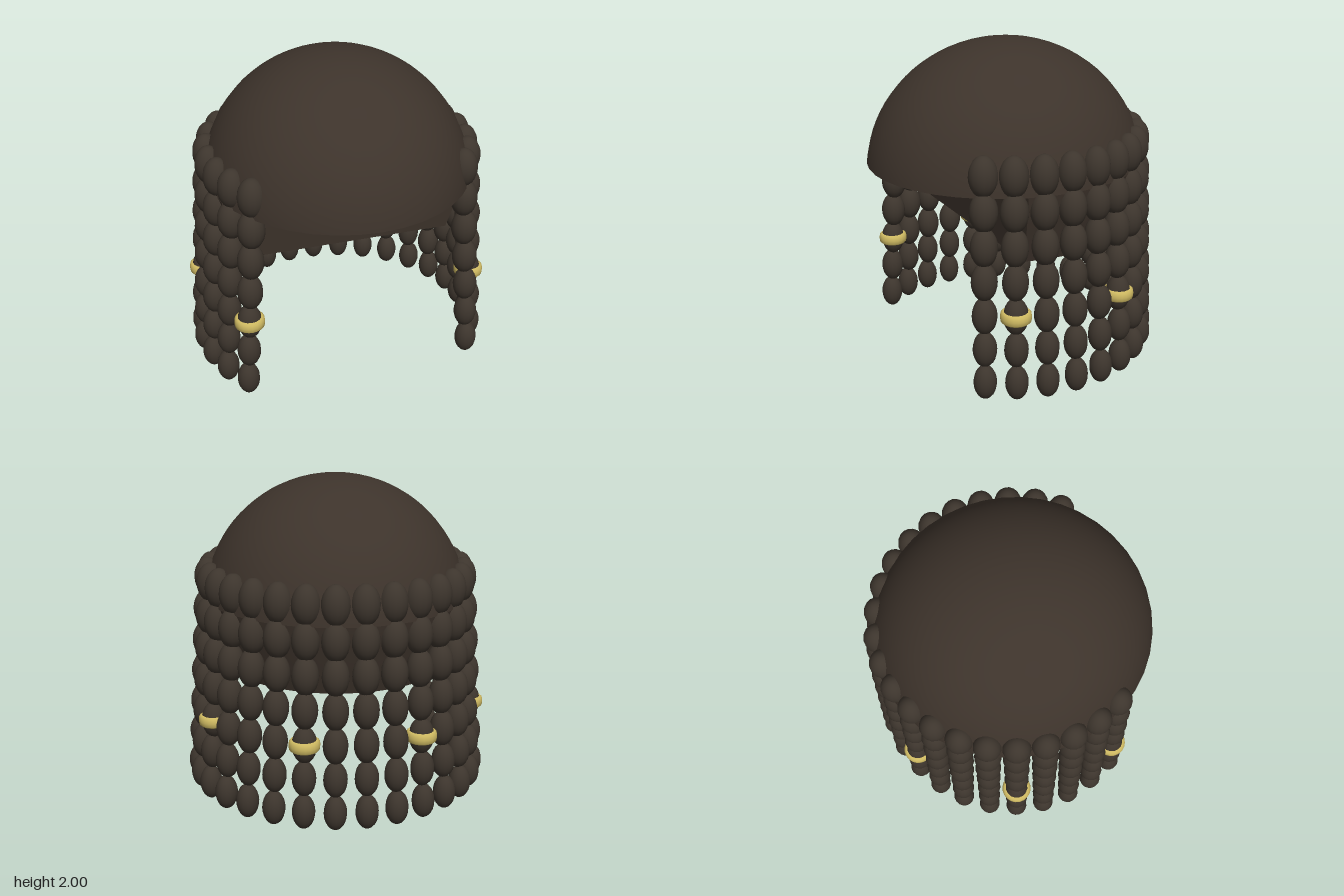
import * as THREE from 'three';

const capMat = new THREE.MeshStandardMaterial({ color: 0x3d332b, side: THREE.DoubleSide });
capMat.name = 'dark brown hair cap';
const beadMat = new THREE.MeshStandardMaterial({ color: 0x3d352d });
beadMat.name = 'dark brown braid';
const goldMat = new THREE.MeshStandardMaterial({ color: 0xcfba62 });
goldMat.name = 'gold';

const COLUMNS = 22, ROWS = 7, STEP = THREE.MathUtils.degToRad(12);
const lerp = THREE.MathUtils.lerp;

function addMesh(parent, name, geometry, material) {
  const mesh = new THREE.Mesh(geometry, material);
  mesh.name = name;
  parent.add(mesh);
  return mesh;
}

// Closed block of hair behind the strands: curved back, flat front, flat underside
function createBackHair() {
  const group = new THREE.Group();
  group.name = 'backHair';
  const start = Math.PI * 0.4, sweep = Math.PI * 1.2;
  const profile = [[0.74, 0.8], [0.79, 0.95], [0.845, 1.12], [0.87, 1.24]]
    .map(([r, y]) => new THREE.Vector2(r, y));

  addMesh(group, 'backHairCurve', new THREE.LatheGeometry(profile, 32, start, sweep), capMat);

  // Front wall joins the two ends of the curve
  const front = new THREE.PlaneGeometry(2, 1, 1, profile.length - 1);
  const pos = front.attributes.position;
  for (let i = 0; i < pos.count; i++) {
    const p = profile[profile.length - 1 - Math.floor(i / 2)];
    pos.setXYZ(i, pos.getX(i) * p.x * Math.sin(start), p.y, p.x * Math.cos(start));
  }
  front.computeVertexNormals();
  addMesh(group, 'backHairFront', front, capMat);

  // Underside is a circle cut off by the front wall
  const outline = new THREE.Shape();
  outline.absarc(0, 0, profile[0].x, Math.PI * 0.9, Math.PI * 2.1, false);
  const underside = new THREE.ShapeGeometry(outline, 32);
  underside.rotateX(Math.PI / 2).scale(1, 1, 1).translate(0, profile[0].y, 0);
  addMesh(group, 'backHairUnderside', underside, capMat);

  group.scale.x = 0.96;
  group.position.z = 0.04;
  return group;
}

export function createModel() {
  const model = new THREE.Group();
  model.name = 'braidedHair';

  // Open dome, slightly longer front to back
  const cap = addMesh(model, 'cap',
    new THREE.SphereGeometry(0.843, 40, 20, 0, Math.PI * 2, 0, Math.PI * 0.4685), capMat);
  cap.scale.set(1, 1, 1.05);
  cap.position.set(0, 1.157, 0.04);

  model.add(createBackHair());

  // Strands of egg-shaped segments hanging round the sides and back
  const beadGeo = new THREE.SphereGeometry(1, 16, 12);
  const ringGeo = new THREE.LatheGeometry(
    [[0.06, -0.034], [0.08, -0.034], [0.091, -0.024], [0.094, 0], [0.091, 0.024], [0.08, 0.034], [0.06, 0.034]]
      .map(([r, y]) => new THREE.Vector2(r, y)), 20);

  for (let c = 0; c < COLUMNS; c++) {
    const angle = (c - (COLUMNS - 1) / 2) * STEP;
    const strand = new THREE.Group();
    strand.name = 'strand' + (c + 1);
    model.add(strand);
    for (let r = 0; r < ROWS; r++) {
      const t = r / (ROWS - 1);
      const width = lerp(0.087, 0.07, t);
      const bead = addMesh(strand, 'braidSegment', beadGeo, beadMat);
      bead.scale.set(width, lerp(0.125, 0.108, t), width);
      bead.position.set(
        Math.sin(angle) * lerp(0.812, 0.907, t),
        lerp(1.359, 0.11, t),
        0.036 - Math.cos(angle) * lerp(0.832, 0.895, t));
      // Gold cuff on every fourth strand
      if (r === 4 && c % 4 === 0) {
        addMesh(strand, 'goldCuff', ringGeo, goldMat).position.copy(bead.position);
      }
    }
  }
  return model;
}
